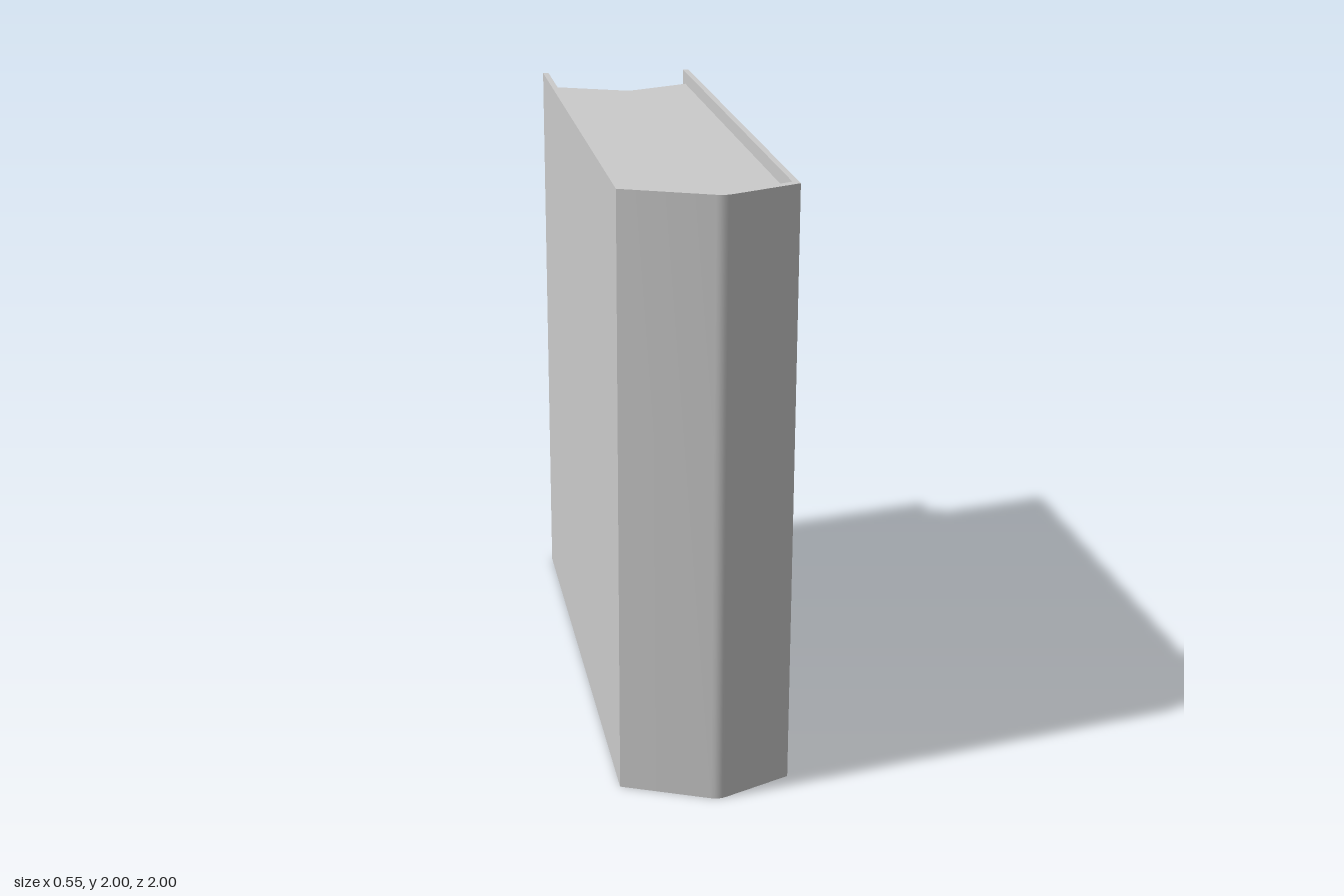
import * as THREE from 'three';
import { toCreasedNormals } from 'three/addons/utils/BufferGeometryUtils.js';

const material = new THREE.MeshStandardMaterial({ color: 0xcccccc });
const RIDGE_X = 0.025, SLOPE = 0.44, ROUND = 0.025;

// Points across a V-shaped ridge from x0 to x1, with a slightly rounded tip at z
function ridge(x0, x1, z) {
  const tip = z + SLOPE * ROUND / 2;
  const at = x => new THREE.Vector2(x, tip - SLOPE * Math.abs(x - RIDGE_X));
  const curve = new THREE.QuadraticBezierCurve(
    at(RIDGE_X - ROUND), new THREE.Vector2(RIDGE_X, tip), at(RIDGE_X + ROUND));
  const points = [at(x0), ...curve.getPoints(4), at(x1)];
  return points;
}

// Upright prism over an outline of (x, z) points, from y0 to y1
function prism(name, outline, y0, y1) {
  const shape = new THREE.Shape(outline.map(p => new THREE.Vector2(p.x, -p.y)));
  const extruded = new THREE.ExtrudeGeometry(shape, { depth: y1 - y0, bevelEnabled: false });
  extruded.rotateX(-Math.PI / 2).translate(0, y0, 0);
  const mesh = new THREE.Mesh(toCreasedNormals(extruded, 0.4), material);
  mesh.name = name;
  return mesh;
}

export function createModel() {
  const book = new THREE.Group();
  book.name = 'book';

  // Cover: two boards joined by a ridged spine, open at the back
  const outerL = -0.278, outerR = 0.276, innerL = -0.258, innerR = 0.256;
  const backL = -1, backR = -0.98, recess = 0.045;
  const inside = ridge(innerL, innerR, 0.967);
  const cover = [
    new THREE.Vector2(outerL, backL),
    ...ridge(outerL, outerR, 1),
    new THREE.Vector2(outerR, backR),
    new THREE.Vector2(innerR, backR),
    ...[...inside].reverse(),
    new THREE.Vector2(innerL, backL),
  ];
  book.add(prism('cover', cover, 0, 2));

  // Page block: fills the cover, set in at top and bottom, hollowed at the back
  const foreEdge = ridge(innerL, innerR, -0.835).reverse();
  const depthSign = foreEdge.map(p => p.clone());
  book.add(prism('pages', [...inside, ...depthSign], recess, 2 - recess));

  return book;
}
